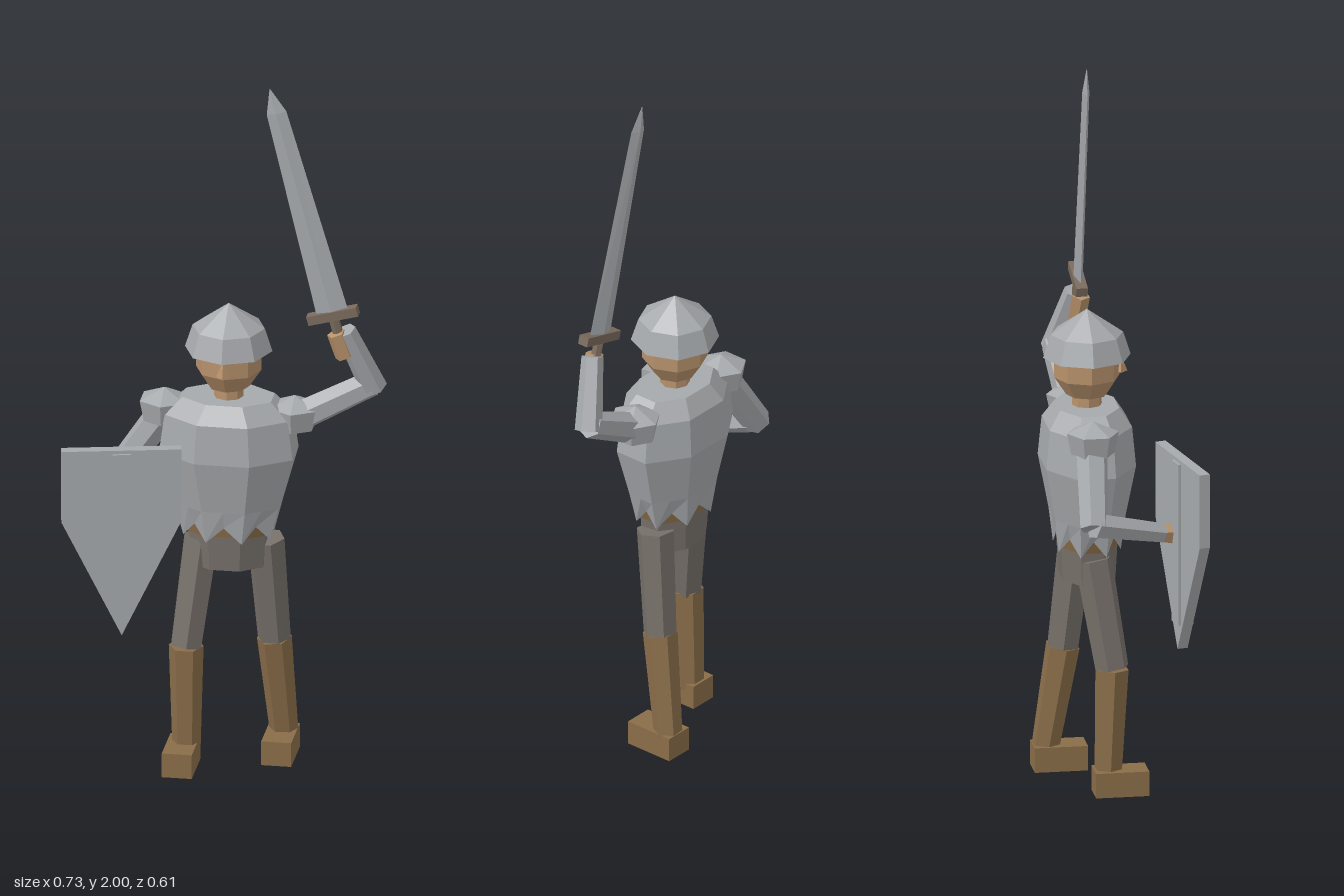
import * as THREE from 'three';

const YAW = 0.37; // the body is turned towards its own left
const V = (x, y, z) => new THREE.Vector3(x, y, z);

function makeMaterial(name, color, side = THREE.FrontSide) {
  const m = new THREE.MeshStandardMaterial({ color, flatShading: true, side });
  m.name = name;
  return m;
}

// Stacked rings of points joined into a skin, optionally closed at the top
function loft(rings, capTop) {
  const n = rings[0].length, pos = [], idx = [];
  rings.forEach(r => r.forEach(p => pos.push(p.x, p.y, p.z)));
  for (let k = 0; k < rings.length - 1; k++) {
    for (let i = 0; i < n; i++) {
      const a = k * n + i, b = k * n + (i + 1) % n;
      idx.push(a, b, b + n, a, b + n, a + n);
    }
  }
  if (capTop) {
    const s = (rings.length - 1) * n;
    for (let i = 1; i < n - 1; i++) idx.push(s, s + i, s + i + 1);
  }
  const g = new THREE.BufferGeometry();
  g.setAttribute('position', new THREE.Float32BufferAttribute(pos, 3));
  g.setIndex(idx);
  g.computeVertexNormals();
  return g;
}

// Octagon with edge midpoints; zig lifts alternate points for a toothed hem
function octagonRing(rx, rz, y, zig = 0) {
  const pts = [];
  for (let i = 0; i < 16; i++) {
    const a = i * Math.PI / 8, r = i % 2 ? 1 : Math.cos(Math.PI / 8);
    pts.push(V(rx * r * Math.sin(a), y + (i % 2 ? 0 : zig), rz * r * Math.cos(a)));
  }
  return pts;
}

export function createModel() {
  const model = new THREE.Group();
  model.name = 'knight';
  const steel = makeMaterial('steel', 0xa6a9ac, THREE.DoubleSide);
  const trousers = makeMaterial('trouserGrey', 0x77706a);
  const leather = makeMaterial('leatherBrown', 0x8a6d49);
  const skin = makeMaterial('skin', 0xb8926c);
  const hilt = makeMaterial('hiltBrown', 0x7a6a5c);

  function add(parent, name, geo, mat, p = V(0, 0, 0)) {
    const m = new THREE.Mesh(geo, mat);
    m.name = name;
    m.position.copy(p);
    parent.add(m);
    return m;
  }
  // Tapered six-sided limb from a to b
  function limb(name, a, b, ra, rb, mat, sides = 6) {
    const d = b.clone().sub(a);
    const m = add(model, name, new THREE.CylinderGeometry(rb, ra, d.length(), sides), mat,
      a.clone().add(b).multiplyScalar(0.5));
    m.quaternion.setFromUnitVectors(V(0, 1, 0), d.normalize());
    return m;
  }

  // Trunk and head share one turned group
  const body = new THREE.Group();
  body.name = 'body';
  body.position.set(-0.03, 0, -0.1);
  body.rotation.y = YAW;
  model.add(body);

  // Breastplate with toothed hem
  const profile = [[0.78, 0.77], [1, 0.92], [0.92, 1.03], [0.66, 1.08]];
  add(body, 'breastplate', loft([
    octagonRing(0.13, 0.093, 0.675, 0.045),
    ...profile.map(([s, y]) => octagonRing(0.2 * s, 0.134 * s, y)),
  ], true), steel);
  // Tunic edge and hips under the armour
  add(body, 'tunic', loft([octagonRing(0.118, 0.083, 0.685), octagonRing(0.14, 0.095, 0.76)], true), leather);
  const hips = new THREE.CylinderGeometry(1, 0.92, 0.12, 8);
  hips.rotateY(Math.PI / 8).scale(0.118, 1, 0.085);
  add(body, 'hips', hips, trousers, V(0, 0.65, 0));

  // Neck, head, nose
  add(body, 'neck', new THREE.CylinderGeometry(0.04, 0.042, 0.08, 8), skin, V(0, 1.09, 0));
  add(body, 'jaw', new THREE.CylinderGeometry(0.09, 0.057, 0.05, 8), skin, V(0, 1.135, 0));
  add(body, 'face', new THREE.CylinderGeometry(0.092, 0.09, 0.09, 8), skin, V(0, 1.205, 0));
  add(body, 'nose', new THREE.ConeGeometry(0.02, 0.05, 4), skin, V(0, 1.195, 0.092));

  // Helmet
  add(body, 'helmetBand', new THREE.CylinderGeometry(0.1, 0.121, 0.065, 8, 1, true), steel, V(0, 1.25, 0));
  add(body, 'helmetDome', new THREE.ConeGeometry(0.1, 0.07, 8, 1, true), steel, V(0, 1.317, 0));

  // Shoulder guards
  for (const s of [-1, 1]) {
    const x = s * 0.18;
    add(body, 'shoulderGuard', new THREE.CylinderGeometry(0.072, 0.06, 0.06, 6), steel, V(x, 1.025, -0.012));
    add(body, 'shoulderCap', new THREE.ConeGeometry(0.072, 0.032, 6), steel, V(x, 1.071, -0.012));
  }

  // Legs, right one stepping forward
  const legs = [
    ['right', V(-0.098, 0.66, -0.068), V(-0.113, 0.355, -0.012), V(-0.118, 0.05, -0.022), V(-0.115, 0.035, 0.012)],
    ['left', V(0.058, 0.66, -0.15), V(0.063, 0.355, -0.187), V(0.065, 0.05, -0.238), V(0.075, 0.035, -0.2)],
  ];
  for (const [side, hip, knee, ankle, foot] of legs) {
    limb(side + 'Thigh', hip, knee, 0.053, 0.047, trousers);
    limb(side + 'Boot', knee, ankle, 0.048, 0.039, leather);
    add(model, side + 'Foot', new THREE.BoxGeometry(0.083, 0.07, 0.147), leather, foot).rotation.y = YAW;
  }

  // Raised left arm
  const elbowL = V(0.325, 1.13, -0.265), handL = V(0.268, 1.27, -0.2);
  limb('leftUpperArm', V(0.138, 1.02, -0.177), elbowL, 0.044, 0.038, steel);
  limb('leftForearm', V(0.33, 1.115, -0.27), V(0.28, 1.3, -0.2), 0.038, 0.03, steel);
  limb('leftHand', V(0.28, 1.225, -0.195), V(0.262, 1.295, -0.18), 0.026, 0.026, skin, 5);

  // Lowered right arm behind the shield
  const elbowR = V(-0.33, 0.83, -0.015);
  limb('rightUpperArm', V(-0.2, 1.02, -0.05), V(-0.332, 0.82, -0.014), 0.045, 0.04, steel);
  limb('rightForearm', elbowR, V(-0.185, 0.775, 0.142), 0.038, 0.03, steel);
  limb('rightHand', V(-0.192, 0.777, 0.135), V(-0.168, 0.77, 0.168), 0.026, 0.03, skin, 5);

  // Sword, built upright at its guard and then tilted
  const sword = new THREE.Group();
  sword.name = 'sword';
  const up = V(-0.165, 0.655, 0.06).normalize();
  const across = V(0.14, 0.03, -0.055).addScaledVector(up, -V(0.14, 0.03, -0.055).dot(up)).normalize();
  sword.quaternion.setFromRotationMatrix(
    new THREE.Matrix4().makeBasis(across, up, across.clone().cross(up)));
  sword.position.set(0.25, 1.345, -0.185);
  model.add(sword);
  const diamond = (w, t, y) => [V(0, y, t), V(w, y, 0), V(0, y, -t), V(-w, y, 0)];
  add(sword, 'blade', loft([
    diamond(0.045, 0.013, 0), diamond(0.028, 0.01, 0.605), diamond(0.001, 0.001, 0.677),
  ], true), steel);
  add(sword, 'guard', new THREE.BoxGeometry(0.142, 0.026, 0.032), hilt);
  add(sword, 'grip', new THREE.CylinderGeometry(0.015, 0.015, 0.12, 6), hilt, V(0, -0.06, 0));

  // Shield with a raised centre strip
  const shield = new THREE.Group();
  shield.name = 'shield';
  shield.position.set(-0.192, 0, 0.202);
  shield.rotation.y = 0.59;
  model.add(shield);
  const outline = new THREE.Shape([[-0.164, 0.995], [-0.164, 0.785], [0, 0.45], [0.164, 0.785], [0.164, 0.995]]
    .map(([x, y]) => new THREE.Vector2(x, y)));
  const board = new THREE.ExtrudeGeometry(outline, { depth: 0.03, bevelEnabled: false });
  add(shield, 'shieldBoard', board, steel, V(0, 0, -0.015));
  add(shield, 'shieldStrip', new THREE.BoxGeometry(0.05, 0.46, 0.044), steel, V(0, 0.755, 0));

  return model;
}
